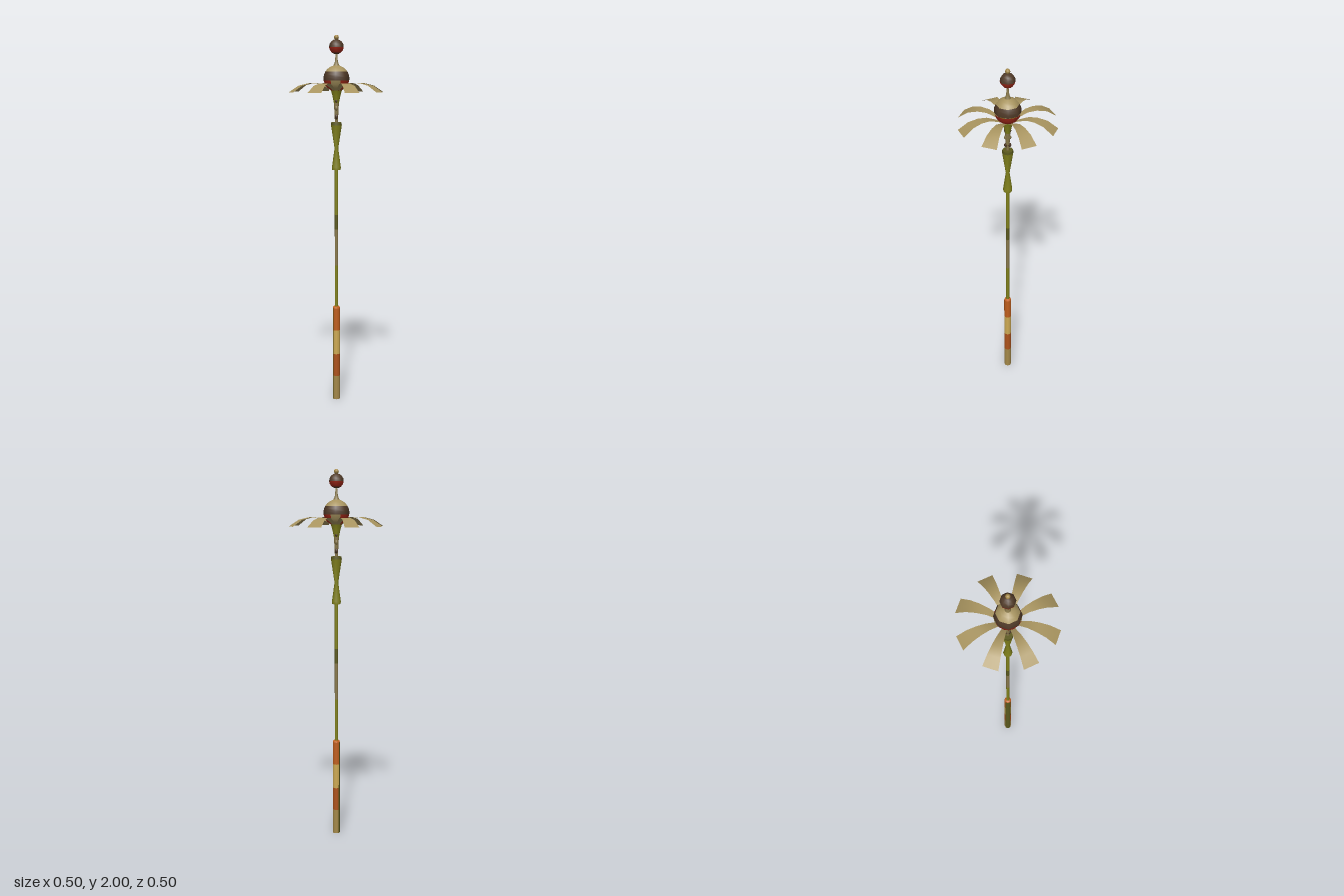
import * as THREE from 'three';

export function createModel() {
  const root = new THREE.Group();
  root.name = 'flowerStaff';
  const material = (name, color) => {
    const m = new THREE.MeshStandardMaterial({ color, side: THREE.DoubleSide });
    m.name = name;
    return m;
  };
  const petalTan = material('petalTan', 0xa8945f);
  const gold = material('gold', 0xd0ac54);
  const dullGold = material('dullGold', 0xa68a4a);
  const orange = material('orange', 0xc2601e);
  const rust = material('rust', 0xb0541c);
  const olive = material('olive', 0x82821c);
  const darkOlive = material('darkOlive', 0x5c5a1e);
  const brown = material('brown', 0x503a28);
  const red = material('red', 0xa82a1a);
  const taupe = material('taupe', 0x8a7a4c);

  const add = (name, geometry, mat, parent = root) => {
    const mesh = new THREE.Mesh(geometry, mat);
    mesh.name = name;
    parent.add(mesh);
    return mesh;
  };
  // Turned part from [radius, height] pairs listed bottom to top
  const turned = (name, mat, profile, sides = 8, start = 0, sweep = Math.PI * 2) =>
    add(name, new THREE.LatheGeometry(
      profile.map(([r, y]) => new THREE.Vector2(r, y)), sides, start, sweep), mat);
  // Points on a ball's outline between two latitudes in degrees
  const arc = (radius, cy, from, to, steps) =>
    Array.from({ length: steps + 1 }, (_, i) => {
      const a = THREE.MathUtils.degToRad(from + (to - from) * i / steps);
      return [Math.max(0, radius * Math.cos(a)), cy + radius * Math.sin(a)];
    });

  // Banded grip with an olive strip down its right side
  const quarter = Math.PI / 2;
  [['gripBase', dullGold, 0, 0.135], ['gripLowerBand', rust, 0.135, 0.26],
    ['gripMiddleBand', gold, 0.26, 0.395], ['gripTopBand', orange, 0.395, 0.52]]
    .forEach(([name, mat, y0, y1]) =>
      turned(name, mat, [[0.02, y0], [0.02, y1]], 6, -quarter / 2, quarter * 3));
  turned('gripStrip', darkOlive, [[0.02, 0], [0.02, 0.52]], 2, -quarter * 1.5, quarter);
  turned('gripFoot', darkOlive, [[0, 0], [0.02, 0]]);
  turned('gripShoulder', orange, [[0.02, 0.52], [0.016, 0.53], [0, 0.53]]);

  // Slender shaft
  [['shaftLower', olive, 0.53, 0.76], ['shaftMiddle', taupe, 0.76, 0.96],
    ['shaftBand', darkOlive, 0.96, 1.04], ['shaftUpper', olive, 1.04, 1.29]]
    .forEach(([name, mat, y0, y1]) => turned(name, mat, [[0.009, y0], [0.009, y1]]));

  // Hourglass collar
  turned('collarFoot', darkOlive, [[0, 1.285], [0.023, 1.285]]);
  turned('collar', olive, [[0.023, 1.285], [0.024, 1.3], [0.01, 1.4], [0.029, 1.525]]);
  turned('collarRim', darkOlive, [[0.029, 1.525], [0.028, 1.54]]);
  turned('collarTop', darkOlive, [[0.028, 1.54], [0, 1.54]]);

  // Neck with flattened beads, and the cup under the flower
  turned('neck', taupe, [[0.008, 1.54], [0.011, 1.6], [0.014, 1.65]]);
  [1.57, 1.615, 1.655].forEach((y, i) => {
    const bead = add('neckBead', new THREE.SphereGeometry(1, 8, 6), i % 2 ? taupe : brown);
    bead.scale.set(0.009, 0.017, 0.019);
    bead.position.y = y;
  });
  turned('flowerCup', olive, [[0.013, 1.64], [0.021, 1.68], [0.031, 1.715], [0.04, 1.73]]);

  // Bulb, with broad red cheeks and narrow tan faces at front and back
  const lower = arc(0.069, 1.772, -65, -8, 3);
  for (let i = 0; i < 2; i++) {
    const middle = i * Math.PI;
    turned('bulbFace', petalTan, lower, 2, middle - Math.PI / 8, Math.PI / 4);
    turned('bulbCheek', red, lower, 6, middle + Math.PI / 8, Math.PI * 0.75);
  }
  turned('bulbBand', brown, arc(0.069, 1.772, -8, 31, 3));
  turned('bulbCap', petalTan, [...arc(0.069, 1.772, 31, 72, 3), [0.016, 1.84]]);

  // Spike, ball and finial
  turned('spike', taupe, [[0.016, 1.84], [0.008, 1.86], [0.004, 1.905]]);
  turned('ballBase', brown, arc(0.039, 1.938, -90, -52, 2));
  turned('ballStripe', red, arc(0.039, 1.938, -52, -4, 2));
  turned('ballTop', brown, arc(0.039, 1.938, -4, 90, 4));
  turned('finial', dullGold, arc(0.013, 1.987, -90, 90, 6));

  // Drooping petals that widen towards square tips
  const petalLine = [[0.02, 1.705], [0.06, 1.727], [0.105, 1.745],
    [0.15, 1.747], [0.2, 1.735], [0.252, 1.7]];
  const petalShape = new THREE.PlaneGeometry(1, 1, 2, petalLine.length - 1);
  const pos = petalShape.attributes.position;
  // Rows run from base to tip, so the upper side faces out
  for (let i = 0; i < pos.count; i++) {
    const [r, y] = petalLine[Math.floor(i / 3)];
    const half = 0.013 + (r - 0.06) * 0.139;
    pos.setXYZ(i, pos.getX(i) * 2 * half, y, r);
  }
  petalShape.computeVertexNormals();
  const petals = new THREE.Group();
  petals.name = 'petals';
  root.add(petals);
  for (let k = 0; k < 8; k++) {
    add('petal', petalShape, petalTan, petals).rotation.y = (k + 0.5) * Math.PI / 4;
  }
  return root;
}
